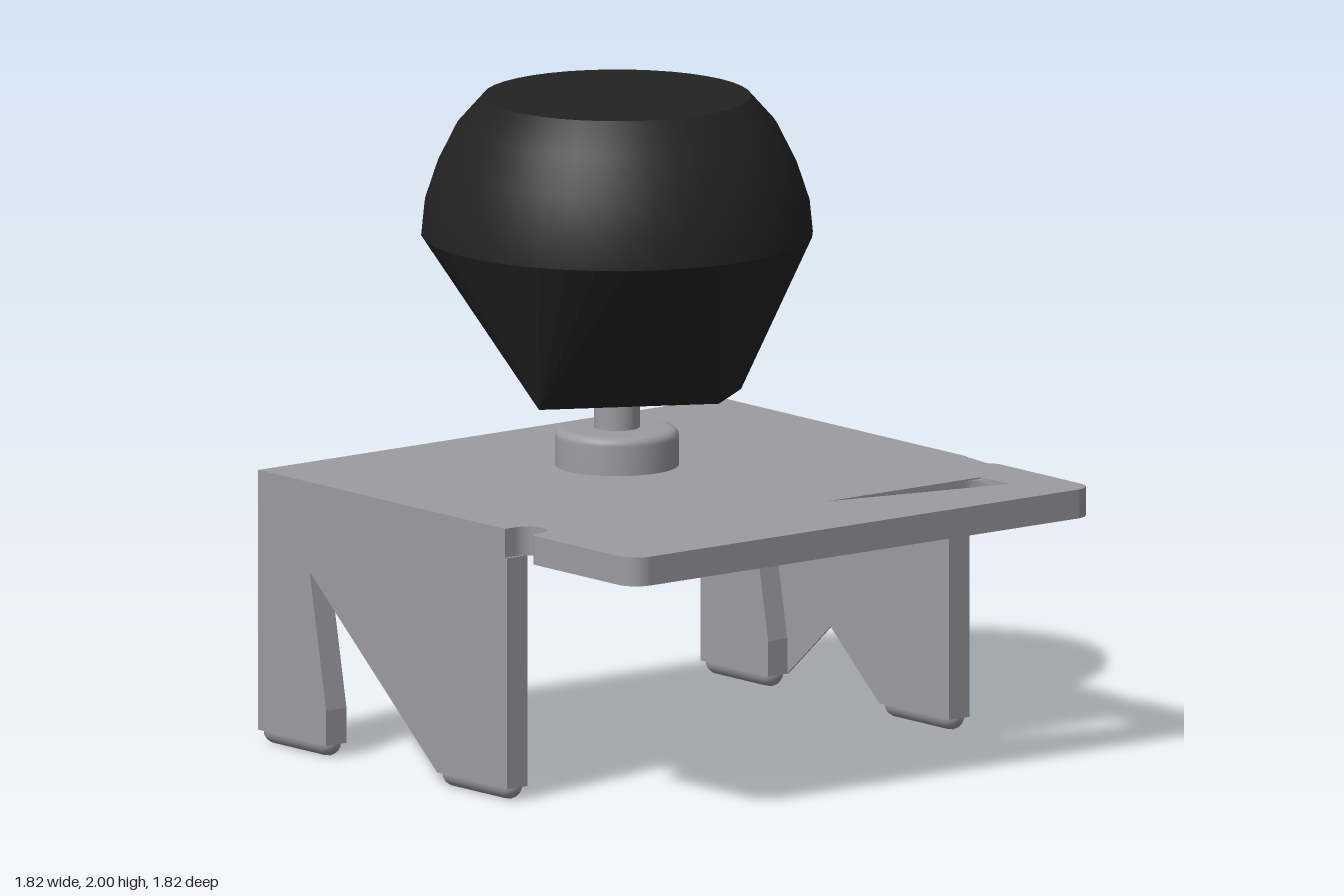
import * as THREE from 'three';
import { ConvexGeometry } from 'three/addons/geometries/ConvexGeometry.js';

export function createModel() {
  const model = new THREE.Group();
  const metal = new THREE.MeshStandardMaterial({ color: 0x9c9ba0 });
  metal.name = 'grey metal';
  const rubber = new THREE.MeshStandardMaterial({ color: 0x222222 });
  rubber.name = 'black rubber';

  const add = (name, geometry, material, x = 0, y = 0, z = 0) => {
    const mesh = new THREE.Mesh(geometry, material);
    mesh.name = name;
    mesh.position.set(x, y, z);
    model.add(mesh);
    return mesh;
  };
  const extrude = (shape, depth) =>
    new THREE.ExtrudeGeometry(shape, { depth, bevelEnabled: false, curveSegments: 12 });

  // Plate outline drawn as (x, -z); the right notch is round or only a sliver
  const S = 0.91, R = 0.07;
  const plateShape = (roundRight) => {
    const s = new THREE.Shape();
    s.moveTo(-S, S);
    s.lineTo(-S, -0.29);
    s.lineTo(-0.87, -0.29);
    s.absarc(-0.87, -0.35, 0.06, Math.PI / 2, -Math.PI / 2, true);
    s.quadraticCurveTo(-S, -0.41, -S, -0.44);
    s.lineTo(-S, -S + R);
    s.absarc(-S + R, -S + R, R, Math.PI, Math.PI * 1.5, false);
    s.absarc(S - R, -S + R, R, -Math.PI / 2, 0, false);
    s.lineTo(S, -0.44);
    if (roundRight) {
      s.quadraticCurveTo(S, -0.41, 0.87, -0.41);
      s.absarc(0.87, -0.35, 0.06, -Math.PI / 2, Math.PI / 2, true);
    } else {
      s.lineTo(0.89, -0.41);
    }
    s.lineTo(roundRight ? S : 0.905, -0.29);
    s.lineTo(S, -0.28);
    s.lineTo(S, S);
    s.closePath();
    return s;
  };

  // Plate body with a long slot
  const body = plateShape(true);
  const slot = new THREE.Path();
  slot.absarc(-0.67, -0.64, 0.07, Math.PI * 1.5, Math.PI / 2, true);
  slot.absarc(0.67, -0.64, 0.07, Math.PI / 2, -Math.PI / 2, true);
  slot.closePath();
  body.holes.push(slot);
  add('plate', extrude(body, 0.085).rotateX(-Math.PI / 2), metal, 0, 0.76);

  // Thin top skin that leaves only a triangle of the slot open
  const skin = plateShape(false);
  skin.holes.push(new THREE.Path([[0.13, -0.57], [0.735, -0.57], [0.74, -0.71]]
    .map(([x, y]) => new THREE.Vector2(x, y))));
  add('plateTop', extrude(skin, 0.005).rotateX(-Math.PI / 2), metal, 0, 0.845);

  // Legs: side profile in (z, y) with a cut between the two feet
  const outerCut = [[0.04, 0.57], [-0.04, 0.15]];
  const innerCut = [[-0.58, 0.15], [-0.66, 0.57]];
  const coreCut = [...innerCut, [-0.31, 0.27], ...outerCut];
  const legSlab = (name, x, width, cut) => {
    const pts = [[0.3, 0.04], [0.3, 0.76], [-0.91, 0.76], [-0.91, 0.04],
      [-0.58, 0.04], ...cut, [-0.04, 0.04]];
    const shape = new THREE.Shape(pts.map(([z, y]) => new THREE.Vector2(-z, y)));
    add(name, extrude(shape, width).rotateY(Math.PI / 2), metal, x);
  };
  legSlab('rightLeg', -0.91, 0.08, innerCut);
  legSlab('leftLegInnerFace', 0.83, 0.005, innerCut);
  legSlab('leftLegCore', 0.835, 0.07, coreCut);
  legSlab('leftLegOuterFace', 0.905, 0.005, outerCut);

  // Rounded feet
  for (const x of [-0.87, 0.87]) {
    for (const [z, length] of [[0.13, 0.34], [-0.745, 0.33]]) {
      const foot = new THREE.CapsuleGeometry(0.04, length - 0.08, 6, 16).rotateX(Math.PI / 2);
      add('foot', foot, metal, x, 0.04, z);
    }
  }

  // Collar, stem and the disc under the plate
  const Z = -0.29;
  const lathe = (pts, segments) =>
    new THREE.LatheGeometry(pts.map(([x, y]) => new THREE.Vector2(x, y)), segments);
  add('collar', lathe([[0.19, 0.85], [0.19, 0.85], [0.19, 0.94], [0.187, 0.953],
    [0.177, 0.963], [0.16, 0.967], [0, 0.967]], 40), metal, 0, 0, Z);
  add('stem', new THREE.CylinderGeometry(0.07, 0.07, 0.14, 32), metal, 0, 1.02, Z);
  add('lowerDisc', new THREE.CylinderGeometry(0.18, 0.17, 0.02, 40), metal, 0, 0.763, Z);

  // Knob: smooth dome with a flat top
  add('knobDome', lathe([[0.6, 1.57], [0.59, 1.67], [0.55, 1.79], [0.49, 1.91], [0.41, 2]], 40),
    rubber, 0, 0, Z);
  add('knobTop', new THREE.CircleGeometry(0.41, 40).rotateX(-Math.PI / 2), rubber, 0, 2, Z);

  // Knob underside: round rim tapering in facets to a four-cornered base
  const points = [[-0.38, 0.09], [0.11, 0.36], [0.31, 0.22], [0.09, -0.37]]
    .map(([x, z]) => new THREE.Vector3(x, 1.08, z));
  for (let i = 0; i < 40; i++) {
    const a = (i / 40) * Math.PI * 2;
    points.push(new THREE.Vector3(0.6 * Math.sin(a), 1.57, 0.6 * Math.cos(a)));
  }
  add('knobBase', new ConvexGeometry(points), rubber, 0, 0, Z);

  return model;
}
